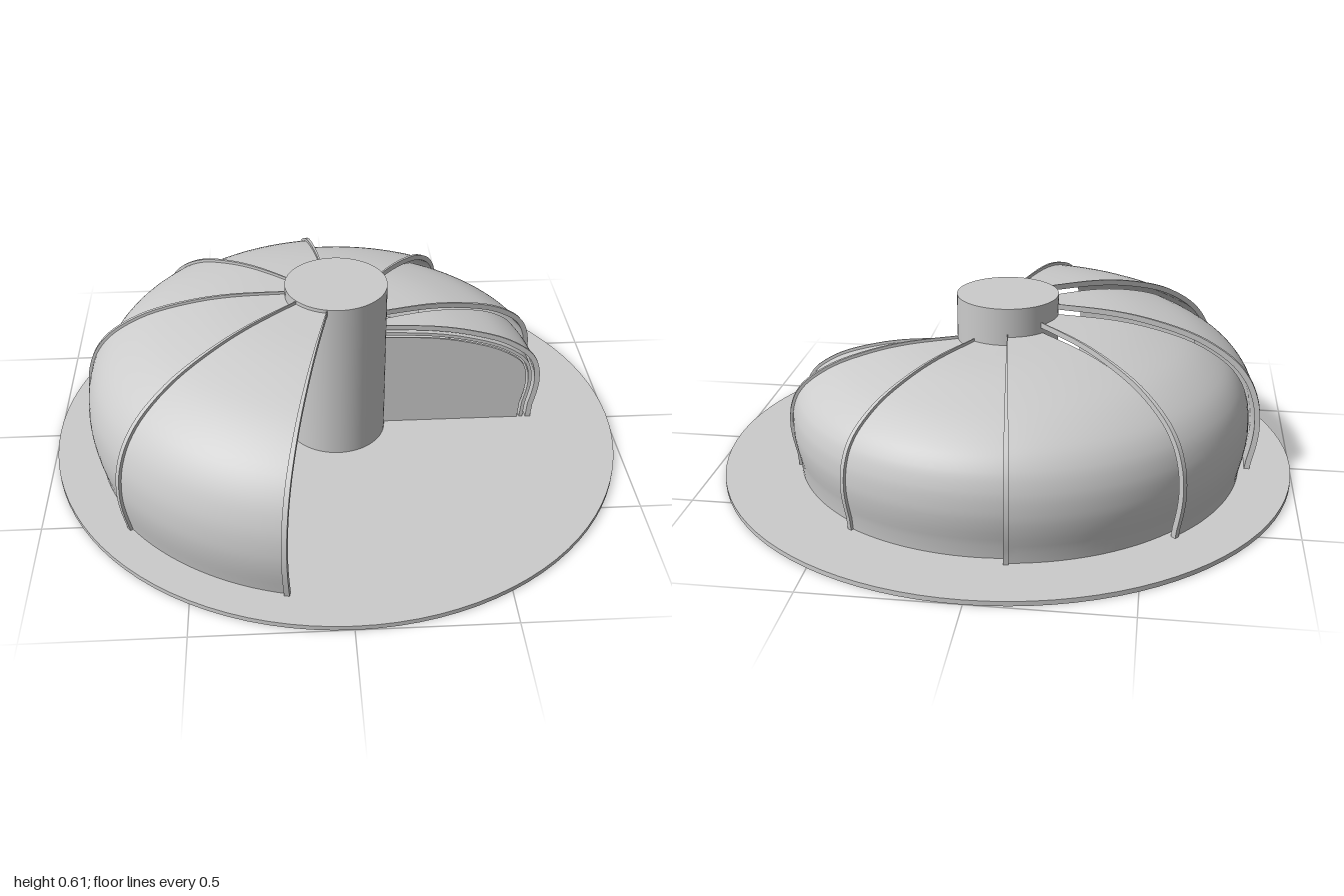
import * as THREE from 'three';
import { toCreasedNormals } from 'three/addons/utils/BufferGeometryUtils.js';

const BASE = 0.016, COLUMN_R = 0.175;
const STEP = 0.029; // gap between one nested shell and the next
const DEG = Math.PI / 180;
const V = (x, y) => new THREE.Vector2(x, y);

// Outer profile of the largest rim, from the base up and in to the column.
const profile = new THREE.SplineCurve([
  V(0.888, BASE), V(0.907, 0.11), V(0.912, 0.19), V(0.9, 0.28), V(0.862, 0.37), V(0.79, 0.45),
  V(0.667, 0.523), V(0.513, 0.571), V(0.36, 0.597), V(0.17, 0.608),
]);

// The profile moved inward by a distance.
function offsetProfile(d) {
  const n = 36, points = [];
  for (let i = 0; i <= n; i++) {
    const p = profile.getPoint(i / n), t = profile.getTangent(i / n);
    points.push(V(p.x - t.y * d, p.y + t.x * d));
  }
  points[0].y = BASE;
  points[n].x = COLUMN_R - 0.005;
  return points;
}

// Sweeps a cross-section (radius, height) around the column between two angles.
function sweep(points, from, to, name, material) {
  const steps = Math.max(1, Math.round((to - from) / 2.5));
  const geometry = new THREE.ExtrudeGeometry(new THREE.Shape(points), {
    depth: to - from, steps, bevelEnabled: false,
  });
  const pos = geometry.attributes.position;
  for (let i = 0; i < pos.count; i++) {
    const r = pos.getX(i), a = (to - pos.getZ(i)) * DEG;
    pos.setXYZ(i, r * Math.cos(a), pos.getY(i), -r * Math.sin(a));
  }
  const mesh = new THREE.Mesh(toCreasedNormals(geometry, 0.6), material);
  mesh.name = name;
  return mesh;
}

// Cross-section of a curved sheet between two offsets.
const sheet = (outer, inner) => [...offsetProfile(outer), ...offsetProfile(inner).reverse()];

export function createModel() {
  const model = new THREE.Group();
  model.name = 'telescopingDome';
  const grey = new THREE.MeshStandardMaterial({ color: 0xcccccc });

  // Round floor and central column
  const floor = new THREE.Mesh(new THREE.CylinderGeometry(1, 1, BASE, 96), grey);
  floor.name = 'floor';
  floor.position.y = BASE / 2;
  const column = new THREE.Mesh(new THREE.CylinderGeometry(COLUMN_R, COLUMN_R, 0.61 - BASE, 64), grey);
  column.name = 'column';
  column.position.y = (0.61 + BASE) / 2;
  model.add(floor, column);

  // Shells, smallest first, each overlapping the one before it
  const edges = [0, 17, 57, 97, 137, 177, 217, 257];
  const last = edges.length - 2;
  for (let i = 0; i <= last; i++) {
    const d = (last - i) * STEP;
    const shell = new THREE.Group();
    shell.name = `shell${i + 1}`;
    const end = edges[i + 1] + (i < last ? 2.5 : 0);
    shell.add(sweep(sheet(d + 0.01, d + 0.019), edges[i], end, 'shellSkin', grey));
    shell.add(sweep(sheet(d, d + 0.019), edges[i] - (i ? 0.5 : 0), edges[i] + 0.6, 'startRim', grey));
    if (i === last) shell.add(sweep(sheet(d, d + 0.019), end - 0.6, end + 0.5, 'endRim', grey));
    model.add(shell);
  }

  // Inner sheet and flat wall closing the small end
  const inner = last * STEP;
  model.add(sweep(sheet(inner + 0.03, inner + 0.042), 0, 17, 'innerSheet', grey));
  const wall = [...offsetProfile(inner + 0.05), V(COLUMN_R - 0.005, BASE)];
  model.add(sweep(wall, 0, 1, 'endWall', grey));
  return model;
}
